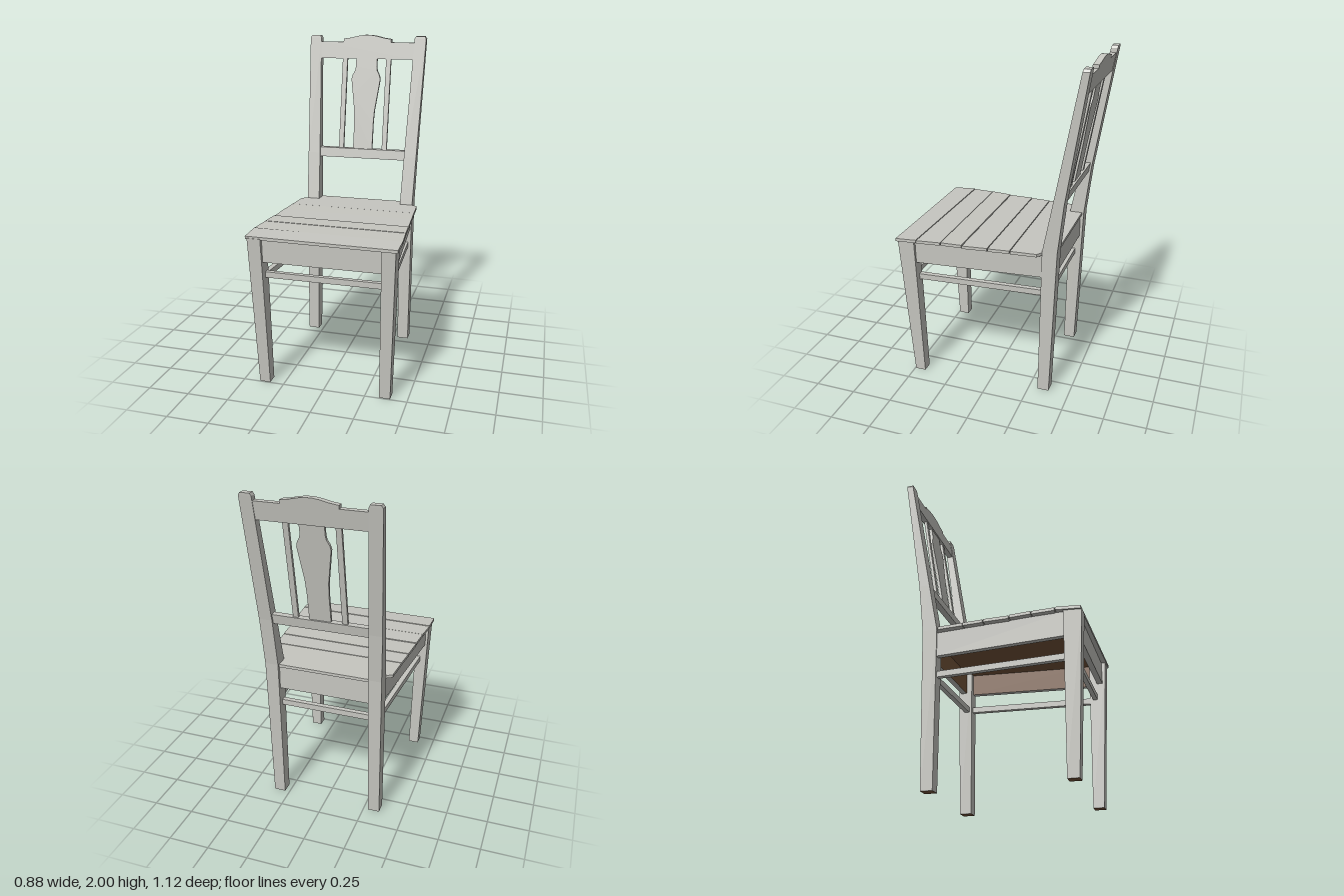
import * as THREE from 'three';

const paint = new THREE.MeshStandardMaterial({ color: 0xc6c6c0 });
paint.name = 'grey paint';
const wood = new THREE.MeshStandardMaterial({ color: 0x78573c });
wood.name = 'bare wood';

// Four corners seen from above: front-left, front-right, back-right, back-left.
const rect = (x0, x1, z0, z1) => [[x0, z1], [x1, z1], [x1, z0], [x0, z0]];
const flip = ([a, b, c, d]) => [b, a, d, c].map(([x, z]) => [-x, z]);

// Flat-faced solid through four-cornered sections [y, corners], listed bottom to top.
// Faces 0..3 are front, +x, back, -x; 4 is the bottom, 5 the top.
function loft(name, sections, bareFaces = []) {
  const pos = [];
  const geo = new THREE.BufferGeometry();
  const at = ([y, c], k) => [c[k % 4][0], y, c[k % 4][1]];
  const quad = (a, b, c, d) => pos.push(...a, ...b, ...c, ...a, ...c, ...d);
  const first = sections[0], last = sections[sections.length - 1];
  for (let f = 0; f < 6; f++) {
    const start = pos.length / 3;
    if (f < 4) {
      for (let i = 0; i + 1 < sections.length; i++) {
        const lo = sections[i], hi = sections[i + 1];
        quad(at(lo, f), at(lo, f + 1), at(hi, f + 1), at(hi, f));
      }
    } else if (f === 4) quad(at(first, 3), at(first, 2), at(first, 1), at(first, 0));
    else quad(at(last, 0), at(last, 1), at(last, 2), at(last, 3));
    geo.addGroup(start, pos.length / 3 - start, bareFaces.includes(f) ? 1 : 0);
  }
  geo.setAttribute('position', new THREE.Float32BufferAttribute(pos, 3));
  geo.computeVertexNormals();
  const mesh = new THREE.Mesh(geo, [paint, wood]);
  mesh.name = name;
  return mesh;
}

// The same solid on both sides of the chair.
function pair(name, sections, bareFaces = []) {
  const swap = { 1: 3, 3: 1 };
  return [
    loft('left' + name, sections, bareFaces),
    loft('right' + name, sections.map(([y, c]) => [y, flip(c)]), bareFaces.map((f) => swap[f] ?? f)),
  ];
}

// Centre plane of the leaning back.
const lean = (y) => -0.408 - 0.174 * (y - 1.24);

// Front outline cut from a board that follows the lean.
function backBoard(name, points, thickness) {
  const shape = new THREE.Shape(points.map(([x, y]) => new THREE.Vector2(x, y)));
  const geo = new THREE.ExtrudeGeometry(shape, { depth: thickness, bevelEnabled: false });
  const p = geo.attributes.position;
  for (let i = 0; i < p.count; i++) p.setZ(i, p.getZ(i) - thickness / 2 + lean(p.getY(i)));
  geo.computeVertexNormals();
  const mesh = new THREE.Mesh(geo, paint);
  mesh.name = name;
  return mesh;
}
// Completes a right-hand outline (bottom to top) with its mirror image.
const symmetric = (half) => [...half, ...half.map(([x, y]) => [-x, y]).reverse()];

// Seat plank from an outline in x and z, tipped slightly along its depth.
function plank(name, points, drop) {
  const shape = new THREE.Shape(points.map(([x, z]) => new THREE.Vector2(x, -z)));
  const geo = new THREE.ExtrudeGeometry(shape, { depth: 0.018, bevelEnabled: false });
  geo.rotateX(-Math.PI / 2);
  const p = geo.attributes.position;
  const zs = points.map((q) => q[1]);
  const back = Math.min(...zs), span = Math.max(...zs) - back;
  for (let i = 0; i < p.count; i++) {
    p.setY(i, p.getY(i) + 0.921 - drop * (p.getZ(i) - back) / span);
  }
  geo.computeVertexNormals();
  const mesh = new THREE.Mesh(geo, paint);
  mesh.name = name;
  return mesh;
}

export function createModel() {
  const chair = new THREE.Group();
  chair.name = 'chair';

  // Legs, with bare wood under the feet
  chair.add(...pair('FrontLeg', [
    [0, rect(0.335, 0.4, 0.43, 0.495)],
    [0.92, rect(0.35, 0.43, 0.447, 0.55)],
  ], [4]));
  chair.add(...pair('BackLeg', [
    [0, rect(0.28, 0.35, -0.375, -0.305)],
    [0.94, rect(0.275, 0.355, -0.407, -0.318)],
    [1.24, rect(0.284, 0.363, -0.44, -0.376)],
    [1.98, rect(0.31, 0.384, -0.557, -0.517)],
    [1.995, rect(0.318, 0.374, -0.559, -0.52)],
  ], [4]));

  // Aprons under the seat, bare on the inside
  const apron = (corners) => [[0.775, corners], [0.921, corners]];
  chair.add(loft('frontApron', apron(rect(-0.36, 0.36, 0.49, 0.525)), [2]));
  chair.add(loft('backApron', apron(rect(-0.29, 0.29, -0.385, -0.35)), [0]));
  chair.add(...pair('SideApron',
    apron([[0.378, 0.46], [0.412, 0.46], [0.346, -0.33], [0.312, -0.33]]), [3]));

  // Stretchers
  const bar = (y0, y1, corners) => [[y0, corners], [y1, corners]];
  chair.add(loft('frontStretcher', bar(0.67, 0.705, rect(-0.36, 0.36, 0.462, 0.49))));
  chair.add(loft('backStretcher', bar(0.645, 0.68, rect(-0.3, 0.3, -0.36, -0.33))));
  chair.add(...pair('SideStretcher',
    bar(0.65, 0.685, [[0.353, 0.46], [0.384, 0.46], [0.335, -0.33], [0.304, -0.33]])));

  // Seat planks: seams are [z at -x, z at +x, half width], from front to back
  const seams = [
    [0.548, 0.56, 0.442], [0.402, 0.426, 0.442], [0.265, 0.276, 0.43],
    [0.135, 0.147, 0.42], [0.02, 0.008, 0.41], [-0.145, -0.14, 0.4],
  ];
  seams[4] = [-0.02 + 0.04, 0.008, 0.41];
  seams[4][0] = -0.02 * -1;
  seams[4] = [0.02 - 0.04, -0.008, 0.41];
  const gap = 0.002;
  const drops = [0.009, 0.003, -0.001, 0.004, 0.002];
  for (let i = 0; i < 5; i++) {
    const [fl, fr, fw] = seams[i], [bl, br, bw] = seams[i + 1];
    chair.add(plank('seatPlank' + (i + 1), [
      [-fw, fl - gap], [fw, fr - gap], [bw, br + gap], [-bw, bl + gap],
    ], drops[i]));
  }
  // Rear plank, notched around the back legs
  chair.add(plank('rearSeatPlank', [
    [-0.4, -0.147], [0.4, -0.142], [0.39, -0.298], [0.355, -0.32], [0.273, -0.32],
    [0.273, -0.395], [-0.273, -0.395], [-0.273, -0.32], [-0.355, -0.32], [-0.39, -0.298],
  ], 0.001));

  // Bare underside of the seat
  const under = [[-0.38, 0.495], [0.38, 0.495], [0.315, -0.355], [-0.315, -0.355]];
  chair.add(loft('seatUnderside', [[0.908, under], [0.914, under]], [0, 1, 2, 3, 4, 5]));

  // Back rails
  chair.add(backBoard('lowerBackRail', symmetric([[0.29, 1.215], [0.29, 1.275]]), 0.04));
  chair.add(backBoard('crestRail', symmetric([
    [0.312, 1.85], [0.316, 1.955], [0.158, 1.955], [0.158, 1.975],
    [0.11, 1.982], [0.06, 1.994], [0.02, 2],
  ]), 0.036));

  // Shaped splat and two slats
  chair.add(backBoard('backSplat', symmetric([
    [0.064, 1.265], [0.064, 1.44], [0.068, 1.52], [0.082, 1.62], [0.096, 1.72],
    [0.09, 1.745], [0.074, 1.775], [0.07, 1.8], [0.07, 1.86],
  ]), 0.018));
  for (const [side, s] of [['left', 1], ['right', -1]]) {
    const c = s * 0.145;
    chair.add(backBoard(side + 'BackSlat', [
      [c - 0.016, 1.265], [c + 0.016, 1.265], [c + 0.016, 1.86], [c - 0.016, 1.86],
    ], 0.018));
  }

  return chair;
}
